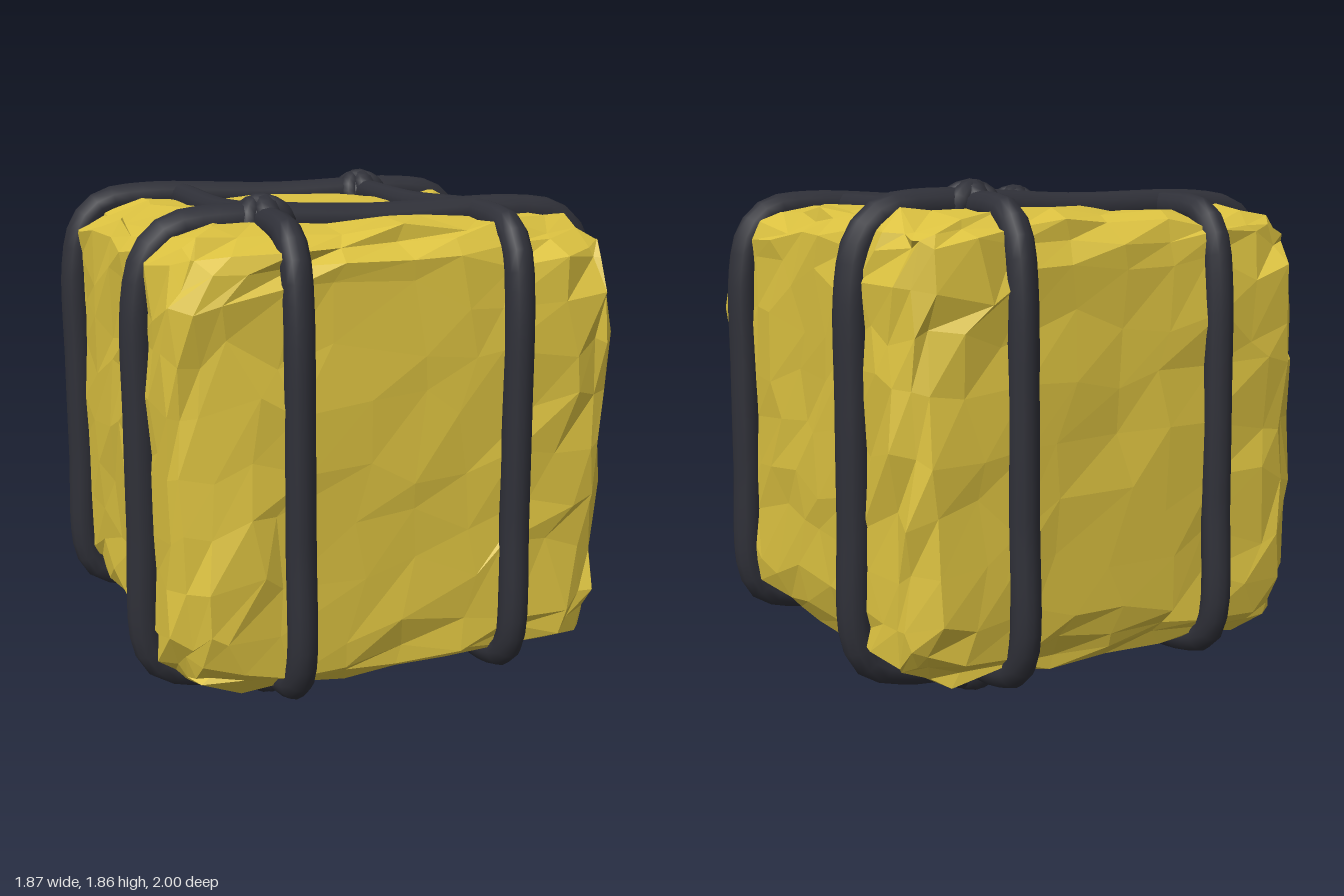
import * as THREE from 'three';

const yellow = new THREE.MeshStandardMaterial({ color: 0xdbc140 });
yellow.name = 'crumpledYellow';
const dark = new THREE.MeshStandardMaterial({ color: 0x2f3038 });
dark.name = 'darkRope';

// Repeatable noise in -1..1, the same for equal positions
function noise(p, seed) {
  const q = (v) => Math.round(v * 100);
  const s = Math.sin(q(p.x) * 12.9898 + q(p.y) * 78.233 + q(p.z) * 37.719 + seed * 19.17) * 43758.5453;
  return (s - Math.floor(s)) * 2 - 1;
}

// Rounded, crumpled block with finer facets toward its edges
function makeBlock() {
  const half = new THREE.Vector3(0.848, 0.815, 0.915), round = 0.2;
  const geo = new THREE.BoxGeometry(2, 2, 2, 10, 10, 10);
  const pos = geo.attributes.position;
  const p = new THREE.Vector3(), core = new THREE.Vector3(), dir = new THREE.Vector3();
  const inner = half.clone().subScalar(round), outer = inner.clone().negate();
  const spread = (v) => (v + Math.sin(v * Math.PI / 2)) / 2;
  for (let i = 0; i < pos.count; i++) {
    const raw = new THREE.Vector3().fromBufferAttribute(pos, i);
    p.set(spread(raw.x), spread(raw.y), spread(raw.z)).multiply(half);
    core.copy(p).clamp(outer, inner);
    dir.copy(p).sub(core).normalize();
    p.copy(core).addScaledVector(dir, round);
    // slide points along the surface, then dent it, most near the edges
    const axes = raw.toArray().map(Math.abs).sort((a, b) => a - b);
    const rim = axes[1] > 0.7;
    const slide = new THREE.Vector3(noise(raw, 1), noise(raw, 2), noise(raw, 3)).multiplyScalar(rim ? 0.035 : 0.075);
    slide.addScaledVector(dir, -slide.dot(dir));
    const corner = axes[0] > 0.7 ? -0.02 : 0;
    p.add(slide).addScaledVector(dir, corner + noise(raw, 4) * (rim ? 0.03 : 0.016));
    pos.setXYZ(i, p.x, p.y + 0.945, p.z);
  }
  geo.deleteAttribute('uv');
  const flat = geo.toNonIndexed();
  flat.computeVertexNormals();
  const mesh = new THREE.Mesh(flat, yellow);
  mesh.name = 'block';
  return mesh;
}

// Closed rope around the block; place(u, y) sets the plane of the loop
function makeRope(name, w, foot, bend, radius, place) {
  const b = w + foot;
  const side = [
    [0, 0.14], [w * 0.55, 0.118], [b - 0.19, 0.13], [b - 0.055, 0.175], [b - 0.004, 0.27], [w + foot * 0.6, 0.7],
    [w + foot * 0.3, 1.1], [w - 0.004, 1.5], [w - bend * 0.35, 1.66], [w - bend, 1.737], [w - bend - 0.17, 1.765], [0, 1.752],
  ];
  const other = side.slice(1, -1).reverse().map(([u, y]) => [-u, y]);
  const curve = new THREE.CatmullRomCurve3([...side, ...other].map(([u, y]) => place(u, y)), true);
  const mesh = new THREE.Mesh(new THREE.TubeGeometry(curve, 100, radius, 12, true), dark);
  mesh.name = name;
  return mesh;
}

// Knot: a core wrapped by crossing strands
function makeKnot(name, x, y, z) {
  const knot = new THREE.Group();
  knot.name = name;
  const core = new THREE.Mesh(new THREE.SphereGeometry(0.085, 14, 10), dark);
  core.name = 'knotCore';
  knot.add(core);
  [0.5, 1.55, 2.6].forEach((turn, i) => {
    const strand = new THREE.Mesh(new THREE.TorusGeometry(0.066, 0.04, 10, 20), dark);
    strand.rotation.set(0.25 * (i - 1), turn, 0);
    strand.name = 'knotStrand';
    knot.add(strand);
  });
  knot.scale.set(1.12, 1, 1.12);
  knot.position.set(x, y, z);
  return knot;
}

export function createModel() {
  const model = new THREE.Group();
  model.name = 'tiedBlock';
  model.add(makeBlock());
  for (const s of [-1, 1]) {
    model.add(makeRope('lengthwiseRope', 0.918, 0.022, 0.1, 0.054, (u, y) => new THREE.Vector3(s * 0.409, y, u)));
    model.add(makeRope('crosswiseRope', 0.862, 0, 0.12, 0.064, (u, y) => new THREE.Vector3(u, y, s * 0.547)));
    // knots sit on two opposite crossings, above and below
    model.add(makeKnot('topKnot', s * 0.405, 1.757, s * -0.543));
    model.add(makeKnot('bottomKnot', s * 0.405, 0.106, s * -0.543));
  }
  return model;
}
